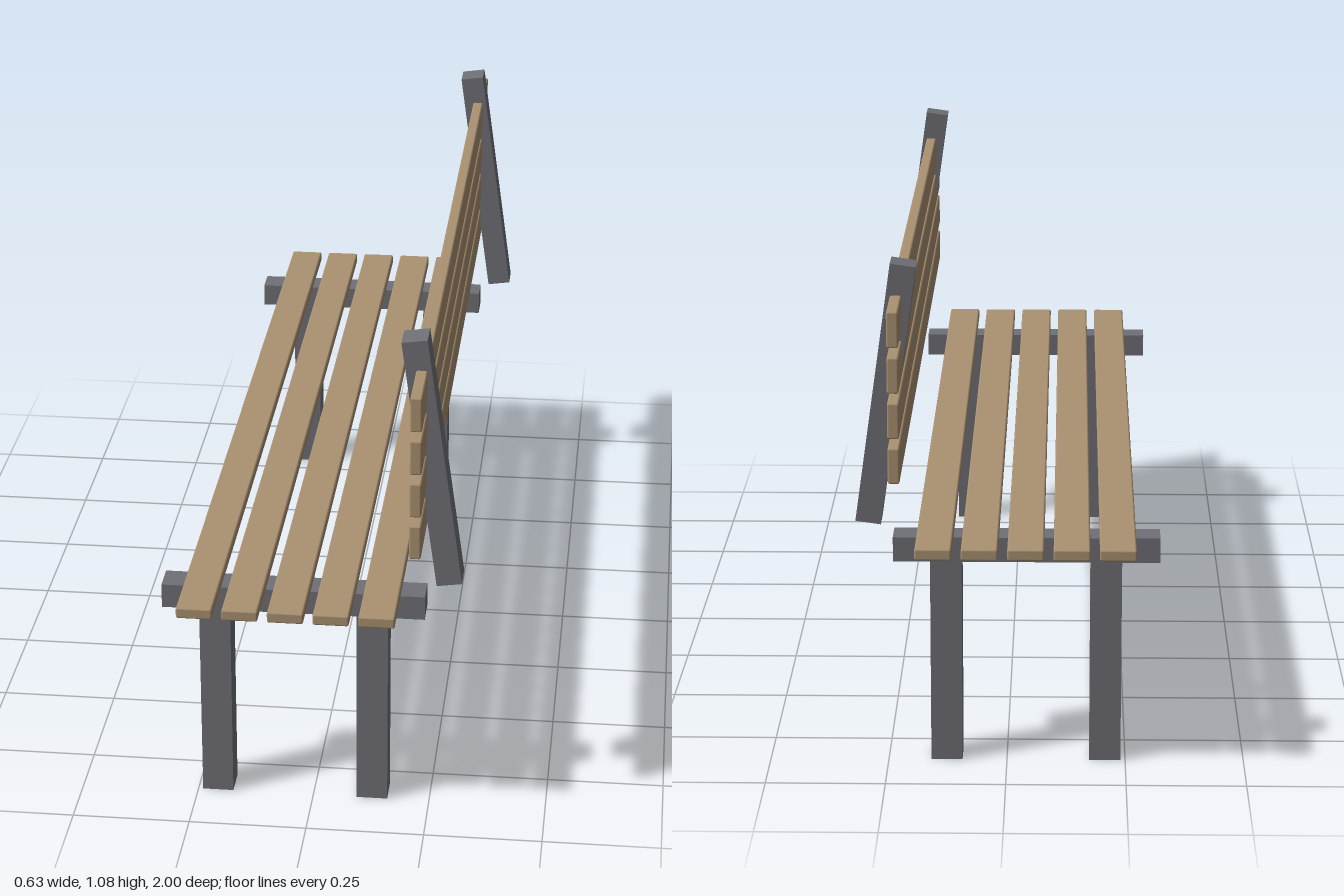
import * as THREE from 'three';
import { RoundedBoxGeometry } from 'three/addons/geometries/RoundedBoxGeometry.js';

export function createModel() {
  const bench = new THREE.Group();
  bench.name = 'bench';
  const wood = new THREE.MeshStandardMaterial({ color: 0xab9272 });
  wood.name = 'wood';
  const metal = new THREE.MeshStandardMaterial({ color: 0x707177 });
  metal.name = 'greyMetal';

  const add = (name, geometry, material, x, y, z, tilt = 0) => {
    const mesh = new THREE.Mesh(geometry, material);
    mesh.name = name;
    mesh.position.set(x, y, z);
    mesh.rotation.z = tilt;
    bench.add(mesh);
  };

  // Long slats with softened edges
  const seatSlat = new RoundedBoxGeometry(0.075, 0.024, 2, 1, 0.004);
  const backSlat = new RoundedBoxGeometry(0.024, 0.075, 2, 1, 0.004);
  const pitch = 0.0946;
  for (let i = 0; i < 5; i++) add('seatSlat', seatSlat, wood, -0.23 + i * pitch, 0.501, 0);
  for (let i = 0; i < 4; i++) add('backSlat', backSlat, wood, 0.226, 0.689 + i * pitch, 0);

  // End frames: two legs, a cross rail and a leaning back post
  const depth = 0.064;
  const leg = new THREE.BoxGeometry(0.066, 0.441, depth);
  const rail = new THREE.BoxGeometry(0.556, 0.053, depth);
  const post = new THREE.BoxGeometry(0.0535, 0.553, depth);
  for (const z of [-0.832, 0.832]) {
    add('frontLeg', leg, metal, -0.207, 0.2205, z);
    add('rearLeg', leg, metal, 0.127, 0.2205, z);
    add('crossRail', rail, metal, -0.041, 0.4675, z);
    add('backPost', post, metal, 0.249, 0.7995, z, 0.14);
  }
  return bench;
}
